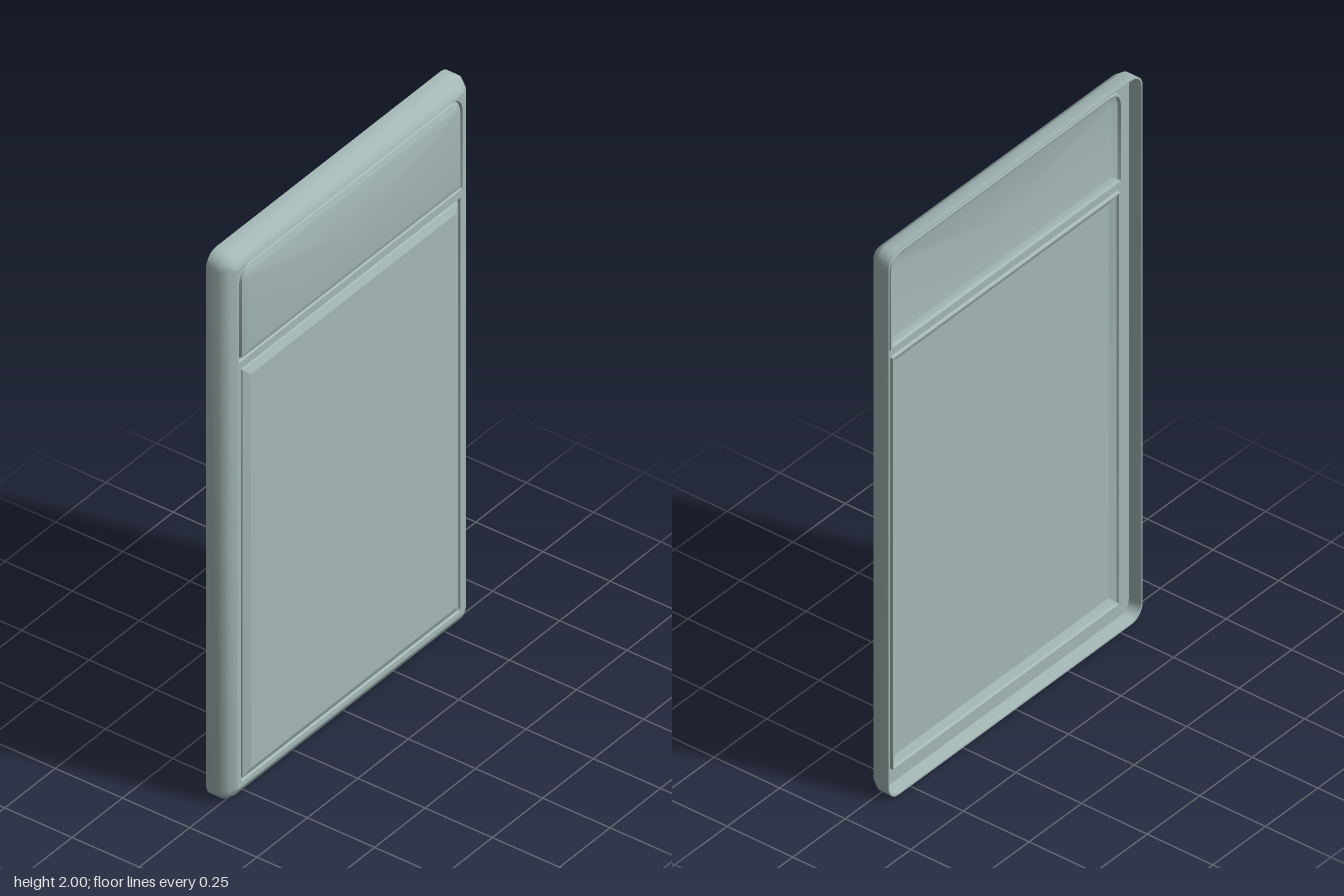
import * as THREE from 'three';
import { toCreasedNormals } from 'three/addons/utils/BufferGeometryUtils.js';

const SEG = 5; // steps per rounded corner

// Rounded rectangle, counter-clockwise from the bottom right corner
function outline({ x, y0, y1, rTop, rBottom }) {
  const pts = [];
  const corners = [
    [x - rBottom, y0 + rBottom, rBottom, -Math.PI / 2],
    [x - rTop, y1 - rTop, rTop, 0],
    [-x + rTop, y1 - rTop, rTop, Math.PI / 2],
    [-x + rBottom, y0 + rBottom, rBottom, Math.PI],
  ];
  for (const [cx, cy, r, start] of corners) {
    for (let i = 0; i <= SEG; i++) {
      const a = start + (i / SEG) * Math.PI / 2;
      pts.push(new THREE.Vector2(cx + r * Math.cos(a), cy + r * Math.sin(a)));
    }
  }
  return pts;
}

// Shrinks a rectangle evenly on all sides
function inset(rect, d) {
  return {
    x: rect.x - d, y0: rect.y0 + d, y1: rect.y1 - d,
    rTop: Math.max(rect.rTop - d, 0.004), rBottom: Math.max(rect.rBottom - d, 0.004),
  };
}

// Skins a profile of [inset, z] steps around a rectangle, optionally closed in front
function loft(rect, profile, capped, crease) {
  const pos = [], idx = [];
  const n = 4 * (SEG + 1);
  for (const [d, z] of profile) {
    for (const p of outline(inset(rect, d))) pos.push(p.x, p.y, z);
  }
  for (let k = 0; k < profile.length - 1; k++) {
    for (let i = 0; i < n; i++) {
      const a = k * n + i, b = k * n + (i + 1) % n;
      idx.push(a, b, b + n, a, b + n, a + n);
    }
  }
  if (capped) {
    const base = (profile.length - 1) * n;
    pos.push(0, (rect.y0 + rect.y1) / 2, profile[profile.length - 1][1]);
    for (let i = 0; i < n; i++) idx.push(base + i, base + (i + 1) % n, base + n);
  }
  const g = new THREE.BufferGeometry();
  g.setAttribute('position', new THREE.Float32BufferAttribute(pos, 3));
  g.setIndex(idx);
  return toCreasedNormals(g, crease);
}

export function createModel() {
  const group = new THREE.Group();
  const greyGreen = new THREE.MeshStandardMaterial({ color: 0xa4b8b6, side: THREE.DoubleSide });
  greyGreen.name = 'greyGreen';
  const add = (name, geometry) => {
    const mesh = new THREE.Mesh(geometry, greyGreen);
    mesh.name = name;
    group.add(mesh);
  };

  const body = { x: 0.605, y0: 0, y1: 2, rTop: 0.05, rBottom: 0.05 };
  const upper = { x: 0.553, y0: 1.607, y1: 1.953, rTop: 0.055, rBottom: 0.005 };
  const lower = { x: 0.543, y0: 0.062, y1: 1.58, rTop: 0.005, rBottom: 0.012 };
  const frontZ = 0.036, backZ = -0.005;

  // Rim: straight side wall and a two-step chamfer, with a short wall inside the back
  add('rim', loft(body, [[0, -0.048], [0, -0.003], [0.02, 0.025], [0.045, frontZ]], false, 0.65));
  add('backRim', loft(body, [[0, -0.048], [0.006, -0.048], [0.012, backZ]], false, 0.5));

  // Front and back sheets: a flat frame with two grooved, raised panels
  for (const [side, z, edge] of [['front', frontZ, 0.045], ['back', backZ, 0.012]]) {
    const frame = new THREE.Shape(outline(inset(body, edge)));
    for (const r of [upper, lower]) frame.holes.push(new THREE.Path(outline(r).reverse()));
    add(side + 'Frame', new THREE.ShapeGeometry(frame).translate(0, 0, z));

    add(side + 'UpperPanel', loft(upper,
      [[0, 0], [0.003, -0.009], [0.009, -0.009], [0.012, 0.001], [0.022, 0.006], [0.036, 0.009]],
      true, 0.6).translate(0, 0, z));
    add(side + 'LowerPanel', loft(lower,
      [[0, 0], [0.003, -0.009], [0.007, -0.009], [0.01, -0.002], [0.036, 0.009]],
      true, 0.15).translate(0, 0, z));
  }

  return group;
}
